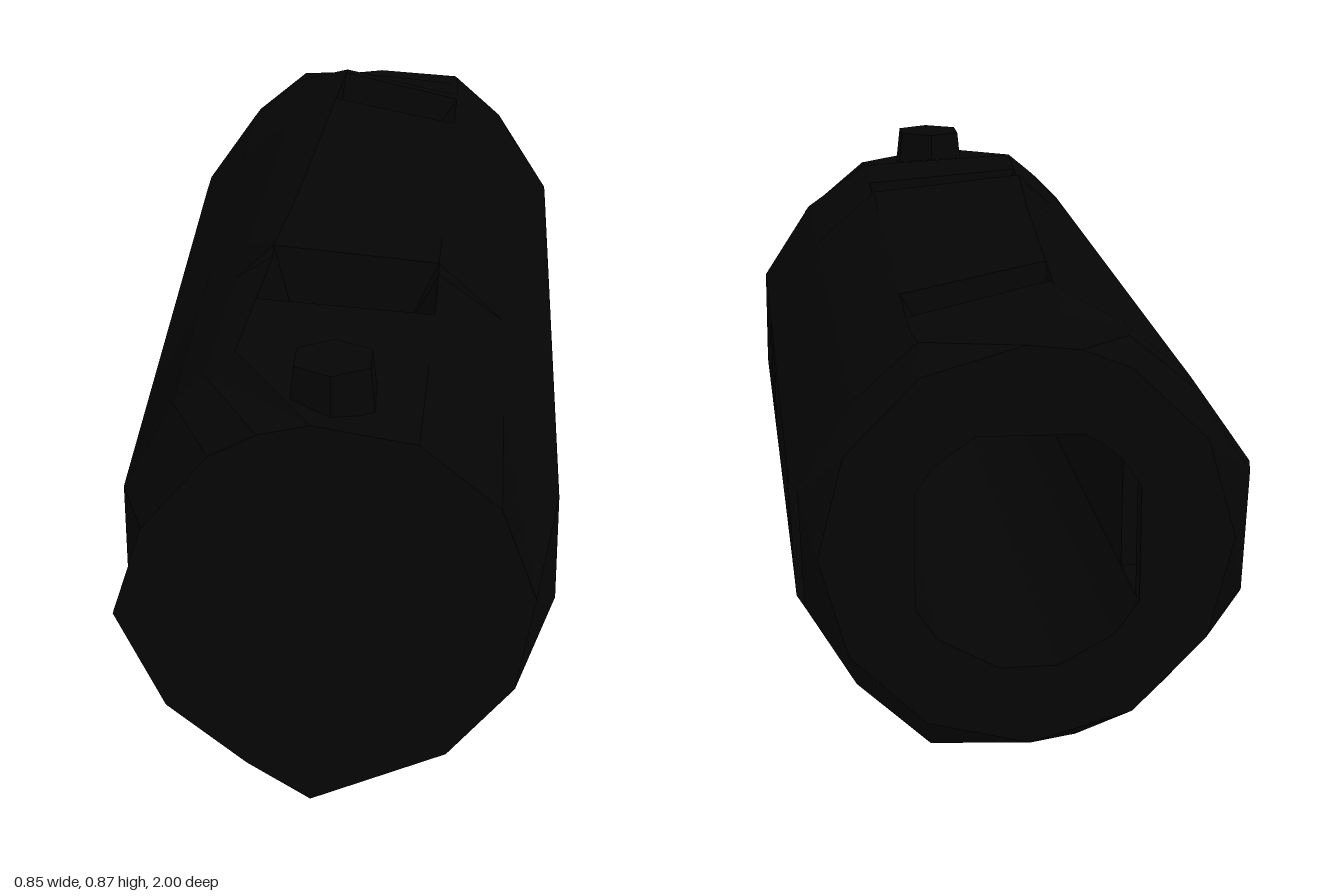
import * as THREE from 'three';

const CY = 0.42;
// body cross-sections, counter-clockwise seen from the front
const FRONT = [[.42, .31], [.42, .53], [.31, .70], [.17, .80], [-.19, .82], [-.25, .77], [-.31, .71],
  [-.41, .53], [-.41, .31], [-.27, .13], [-.1, .022], [.09, .01], [.29, .122]];
const BACK = [[.415, .31], [.425, .53], [.315, .70], [.2, .80], [-.07, .864], [-.19, .805], [-.31, .705],
  [-.425, .54], [-.415, .31], [-.27, .135], [-.1, .035], [.18, .03], [.32, .155]];
// corner angles of the two end faces, turned half a facet against the body
const END_ANGLES = [-25, 5, 35, 65, 95, 110, 125, 155, 185, 215, 245, 275, 305];
const N = FRONT.length;
const RINGS = [1, .75, .52, .32, .31, .29, .14, 0, -.6, -.78, -.81, -.9, -.96, -1];
// windows: facet index, front z, back z
const WINDOWS = [[0, .29, .14], [0, -.81, -.96], [7, .29, .14], [7, -.81, -.96], [3, .52, .31], [3, -.6, -.78]];

function endRing(turn, r, z) {
  return END_ANGLES.map(deg => {
    const a = (deg + turn) * Math.PI / 180;
    return [r * Math.cos(a), CY + r * Math.sin(a), z];
  });
}

// one outer cross-section
function ring(z) {
  if (z === 1) {
    const front = endRing(0, .377, z);
    front[8] = [-.4, .4, z];
    front[11] = [-.04, 0, z]; // low corner the body rests on
    return front;
  }
  if (z === -1) return endRing(-6, .38, z);
  const t = THREE.MathUtils.clamp((.75 - z) / 1.55, 0, 1);
  const topLimit = z < -.8 ? .866 - .4 * (-.8 - z) : 1;
  const narrow = z < -.9 ? .97 : 1;
  return FRONT.map(([x, y], i) => {
    let py = y + (BACK[i][1] - y) * t;
    // raised lip behind the front window
    if ((i === 3 || i === 4) && z < .315) py += .02 * Math.max(0, z / .31);
    return [(x + (BACK[i][0] - x) * t) * narrow, Math.min(py, topLimit), z];
  });
}

// straight bore, flat at the side windows
const BORE = FRONT.map(([x, y]) => {
  if (Math.abs(y - CY) < .13) return [Math.sign(x) * .205, y];
  const s = .235 / Math.hypot(x, y - CY);
  return [x * s, CY + (y - CY) * s];
});

function shellGeometry() {
  const outer = RINGS.map(ring);
  const inner = RINGS.map(z => BORE.map(([x, y]) => [x, y, z]));
  const last = RINGS.length - 1;
  const pos = [];
  const quad = (a, b, c, d) => pos.push(...a, ...b, ...c, ...a, ...c, ...d);
  const open = (i, j) => j >= 0 && j < last &&
    WINDOWS.some(([f, z0, z1]) => f === i && RINGS[j] <= z0 && RINGS[j + 1] >= z1);
  for (let i = 0; i < N; i++) {
    const k = (i + 1) % N;
    for (let j = 0; j < last; j++) {
      const o = [outer[j][i], outer[j + 1][i], outer[j + 1][k], outer[j][k]];
      const n = [inner[j][i], inner[j + 1][i], inner[j + 1][k], inner[j][k]];
      if (!open(i, j)) {
        quad(...o);
        quad(n[3], n[2], n[1], n[0]);
        continue;
      }
      // reveals around each window
      quad(o[0], o[1], n[1], n[0]);
      quad(o[2], o[3], n[3], n[2]);
      if (!open(i, j - 1)) quad(o[3], o[0], n[0], n[3]);
      if (!open(i, j + 1)) quad(o[1], o[2], n[2], n[1]);
    }
    // rear face around the bore
    quad(outer[last][i], inner[last][i], inner[last][k], outer[last][k]);
  }
  const g = new THREE.BufferGeometry();
  g.setAttribute('position', new THREE.Float32BufferAttribute(pos, 3));
  g.computeVertexNormals();
  return g;
}

export function createModel() {
  const group = new THREE.Group();
  const black = new THREE.MeshStandardMaterial({ color: 0x050505, flatShading: true, side: THREE.DoubleSide });
  black.name = 'matte black';
  const add = (name, geometry) => {
    const mesh = new THREE.Mesh(geometry, black);
    mesh.name = name;
    group.add(mesh);
    return mesh;
  };

  add('tubeShell', shellGeometry());

  // closed front face
  const outline = new THREE.Shape(ring(1).map(([x, y]) => new THREE.Vector2(x, y)));
  add('frontCap', new THREE.ShapeGeometry(outline)).position.z = 1;

  // hexagonal stud on top
  const stud = add('topStud', new THREE.CylinderGeometry(.08, .09, .085, 6));
  stud.position.set(0, .8225, .865);
  return group;
}
